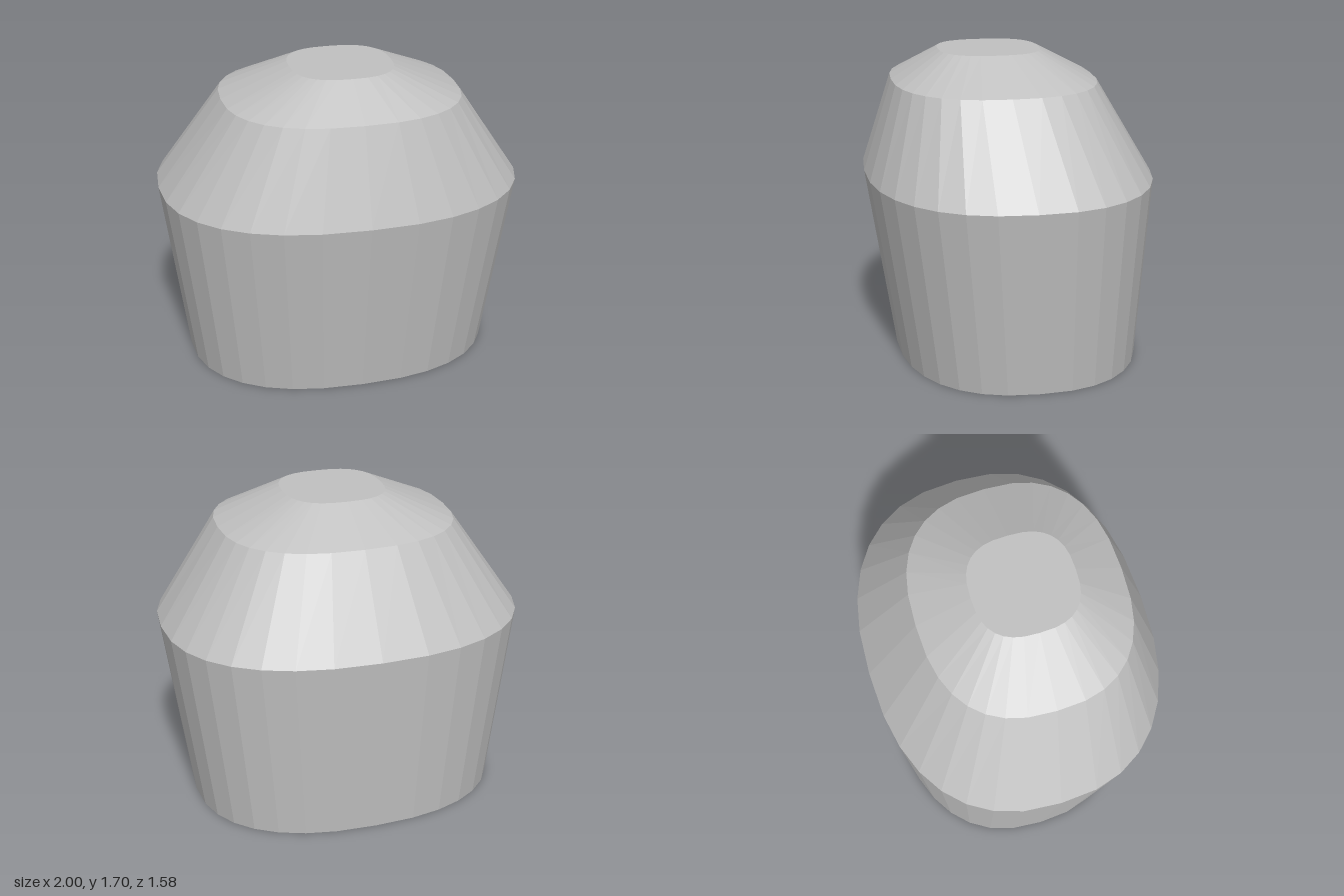
import * as THREE from 'three';

const SIDES = 32;

// Cross-sections from the ground up: height, half width, half depth, z centre, roundness power
const SECTIONS = [
  { y: 0, rx: 0.86, rz: 0.675, cz: -0.045, p: 0.83 },
  { y: 1.03, rx: 1, rz: 0.79, cz: 0, p: 0.83 },
  { y: 1.54, rx: 0.65, rz: 0.56, cz: 0.07, p: 0.79 },
  { y: 1.7, rx: 0.28, rz: 0.28, cz: 0.09, p: 0.75 },
];

// Softened power of a sine or cosine, giving a squarish oval
const soft = (v, p) => (Math.abs(v) < 1e-9 ? 0 : Math.sign(v) * Math.abs(v) ** p);

function ringPoint({ y, rx, rz, cz, p }, i) {
  const a = (i / SIDES) * Math.PI * 2;
  return [rx * soft(Math.sin(a), p), y, cz + rz * soft(Math.cos(a), p)];
}

function fromTriangles(points) {
  const geometry = new THREE.BufferGeometry();
  geometry.setAttribute('position', new THREE.Float32BufferAttribute(points.flat(), 3));
  geometry.computeVertexNormals(); // unshared corners keep every facet flat
  return geometry;
}

// Faceted wall between two cross-sections
function band(low, high) {
  const points = [];
  for (let i = 0; i < SIDES; i++) {
    const a = ringPoint(low, i), b = ringPoint(low, i + 1);
    const c = ringPoint(high, i + 1), d = ringPoint(high, i);
    points.push(a, b, c, a, c, d);
  }
  return fromTriangles(points);
}

// Flat end closing a cross-section
function cap(section, up) {
  const points = [];
  const centre = [0, section.y, section.cz];
  for (let i = 0; i < SIDES; i++) {
    const a = ringPoint(section, i), b = ringPoint(section, i + 1);
    points.push(centre, ...(up ? [a, b] : [b, a]));
  }
  return fromTriangles(points);
}

export function createModel() {
  const group = new THREE.Group();
  group.name = 'facetedBlock';
  const grey = new THREE.MeshStandardMaterial({ color: 0xc0c0c0, flatShading: true });
  grey.name = 'plain grey';

  const add = (name, geometry) => {
    const mesh = new THREE.Mesh(geometry, grey);
    mesh.name = name;
    group.add(mesh);
  };

  const [base, waist, shoulder, top] = SECTIONS;
  add('underside', cap(base, false));
  add('lowerBody', band(base, waist));
  add('slopedShoulder', band(waist, shoulder));
  add('crown', band(shoulder, top));
  add('topFace', cap(top, true));
  return group;
}
